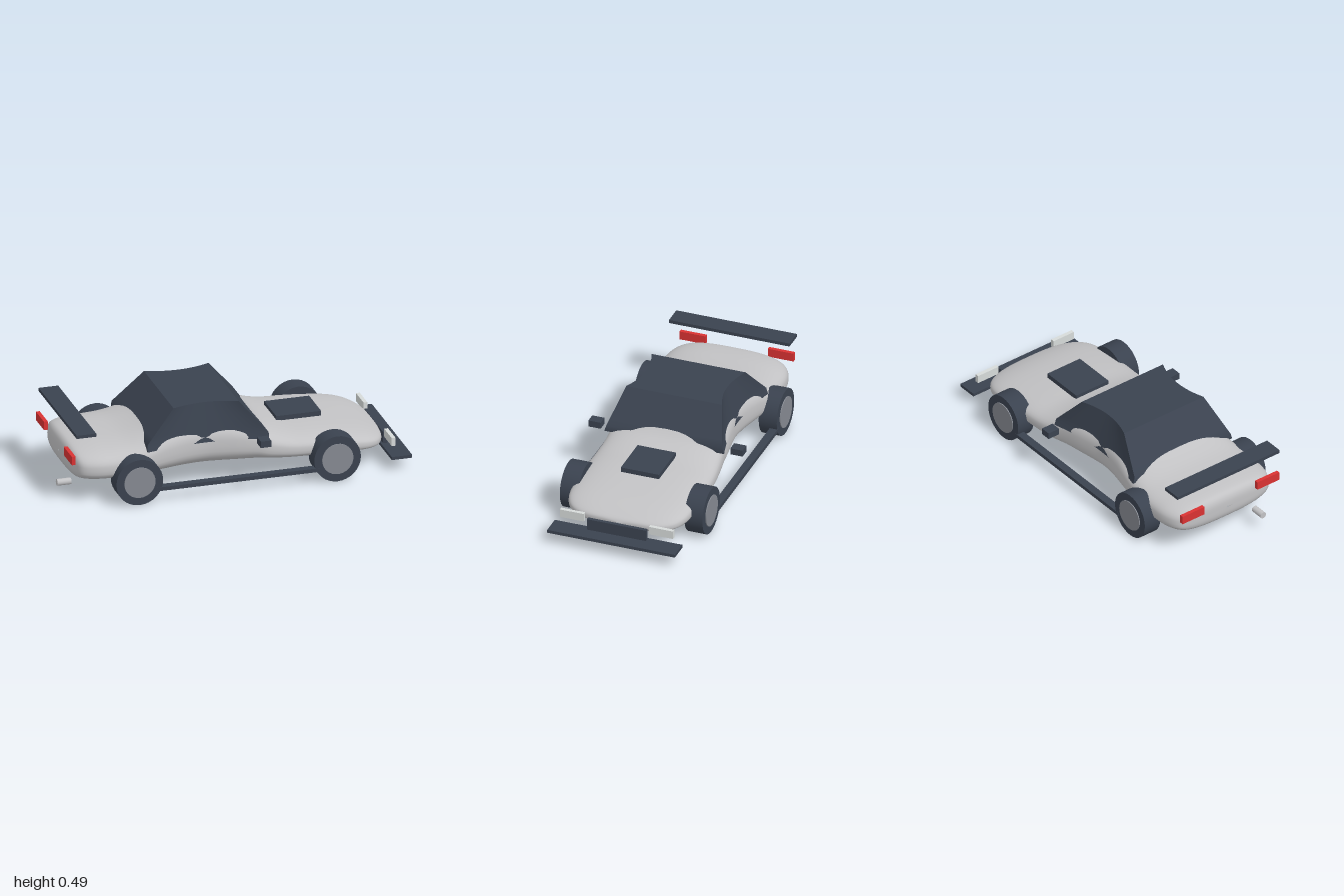
import * as THREE from 'three';

const mat = (name, color) => {
  const m = new THREE.MeshStandardMaterial({ color });
  m.name = name;
  return m;
};

// Catmull-Rom interpolation through rows of numbers
function sample(rows, s) {
  const last = rows.length - 1;
  const i = Math.min(Math.floor(s), last - 1), f = s - i;
  const at = (k) => rows[Math.max(0, Math.min(last, k))];
  return rows[i].map((b, k) => {
    const a = at(i - 1)[k], c = at(i + 1)[k], d = at(i + 2)[k];
    return b + 0.5 * f * (c - a + f * (2 * a - 5 * b + 4 * c - d + f * (3 * (b - c) + d - a)));
  });
}

// Smooth shell lofted from superellipse sections: x, bottom, top, half width
function bodyGeometry() {
  const stations = [
    [-0.93, 0.2, 0.21, 0.005], [-0.927, 0.16, 0.25, 0.17], [-0.912, 0.13, 0.28, 0.27],
    [-0.88, 0.116, 0.294, 0.325], [-0.8, 0.11, 0.302, 0.355], [-0.7, 0.108, 0.305, 0.36],
    [-0.6, 0.107, 0.315, 0.357], [-0.5, 0.106, 0.344, 0.347], [-0.4, 0.105, 0.387, 0.333],
    [-0.28, 0.105, 0.408, 0.31], [-0.17, 0.105, 0.41, 0.3], [-0.07, 0.105, 0.407, 0.311],
    [0.02, 0.105, 0.398, 0.324], [0.12, 0.106, 0.368, 0.335], [0.2, 0.107, 0.308, 0.344],
    [0.32, 0.107, 0.272, 0.355], [0.45, 0.107, 0.262, 0.36], [0.58, 0.107, 0.25, 0.36],
    [0.7, 0.107, 0.233, 0.356], [0.78, 0.108, 0.214, 0.335], [0.84, 0.113, 0.192, 0.285],
    [0.877, 0.123, 0.173, 0.19], [0.89, 0.143, 0.155, 0.01]
  ];
  const steps = (stations.length - 1) * 4, sides = 56, pos = [], idx = [];
  const pw = (v, n) => Math.sign(v) * Math.pow(Math.abs(v), n);
  for (let i = 0; i <= steps; i++) {
    const [x, bot, top, w] = sample(stations, i / 4);
    const mid = bot + (top - bot) * 0.45;
    for (let j = 0; j < sides; j++) {
      const a = (j / sides) * Math.PI * 2, s = Math.sin(a);
      const h = s > 0 ? top - mid : mid - bot;
      pos.push(x, mid + h * pw(s, 0.7), w * pw(Math.cos(a), 0.7));
      if (i === steps) continue;
      const k = (j + 1) % sides, p = i * sides, q = p + sides;
      idx.push(p + j, q + j, q + k, p + j, q + k, p + k);
    }
  }
  // end caps
  const e = steps * sides;
  for (let j = 1; j < sides - 1; j++) idx.push(0, j, j + 1, e, e + j + 1, e + j);
  for (let j = 0; j < idx.length; j += 0) {
    const capStart = idx.length - (sides - 2) * 6;
    for (let c = capStart; c < idx.length; c += 6) {
      // the rear cap faces -x, the front cap faces +x
      [idx[c + 1], idx[c + 2], idx[c + 4], idx[c + 5]] = [idx[c + 2], idx[c + 1], idx[c + 5], idx[c + 4]];
    }
    break;
  }
  const g = new THREE.BufferGeometry();
  g.setAttribute('position', new THREE.Float32BufferAttribute(pos, 3));
  g.setIndex(idx);
  g.computeVertexNormals();
  return g;
}

// Tapered, waisted glasshouse made by reshaping a box
function cabinGeometry() {
  const g = new THREE.BoxGeometry(1, 1, 1, 24, 6, 1);
  const p = g.attributes.position, lerp = THREE.MathUtils.lerp;
  for (let i = 0; i < p.count; i++) {
    const u = p.getX(i) + 0.5, t = p.getY(i) + 0.5;
    const slope = Math.max(0, (t - 1 / 6) / (5 / 6));
    const x = lerp(lerp(-0.52, -0.35, slope), lerp(0.18, 0.025, slope), u);
    const c = 2 * u - 1;
    const half = (0.302 + (c > 0 ? 0.053 : 0.045) * c * c) * (1 - 0.2 * t);
    p.setXYZ(i, x, 0.275 + 0.217 * t, Math.sign(p.getZ(i)) * half);
  }
  g.computeVertexNormals();
  return g;
}

export function createModel() {
  const car = new THREE.Group();
  car.name = 'car';
  const paint = mat('silver paint', 0xc2c2c4);
  const dark = mat('dark trim', 0x3a424f);
  const rim = mat('wheel grey', 0x858991);
  const lamp = mat('headlight white', 0xd6dad9);
  const red = mat('tail light red', 0xd93232);

  const add = (name, geometry, material, parent = car) => {
    const m = new THREE.Mesh(geometry, material);
    m.name = name;
    parent.add(m);
    return m;
  };
  // Box given by its limits on each axis
  const box = (name, material, [x0, x1], [y0, y1], [z0, z1]) => {
    const m = add(name, new THREE.BoxGeometry(x1 - x0, y1 - y0, z1 - z0), material);
    m.position.set((x0 + x1) / 2, (y0 + y1) / 2, (z0 + z1) / 2);
    return m;
  };

  add('body', bodyGeometry(), paint);
  add('cabin', cabinGeometry(), dark);

  // Centre parts
  box('hoodScoop', dark, [0.295, 0.555], [0.27, 0.298], [-0.113, 0.113]);
  box('grille', dark, [0.895, 0.917], [0.085, 0.152], [-0.175, 0.175]);
  box('splitter', dark, [0.882, 1], [0.068, 0.086], [-0.378, 0.378]);
  box('rearWing', dark, [-0.935, -0.822], [0.413, 0.432], [-0.357, 0.357]);

  // Paired parts on both sides
  for (const s of [1, -1]) {
    const span = (a, b) => (s > 0 ? [a, b] : [-b, -a]);
    box('headlight', lamp, [0.895, 0.917], [0.133, 0.181], span(0.193, 0.335));
    box('tailLight', red, [-0.957, -0.935], [0.25, 0.3], span(0.185, 0.338));
    box('sideSkirt', dark, [-0.49, 0.45], [0.07, 0.092], span(0.378, 0.424));
    box('mirror', dark, [0.1, 0.16], [0.27, 0.308], span(0.384, 0.457));

    for (const [name, x] of [['rearWheel', -0.59], ['frontWheel', 0.555]]) {
      const wheel = new THREE.Group();
      wheel.name = name;
      wheel.position.set(x, 0.135, s * 0.369);
      wheel.rotation.x = s * Math.PI / 2;
      add('tyre', new THREE.CylinderGeometry(0.135, 0.135, 0.107, 32), dark, wheel);
      add('hub', new THREE.CylinderGeometry(0.09, 0.09, 0.06, 32), rim, wheel).position.y = 0.029;
      car.add(wheel);
    }
  }

  // Single exhaust on the left rear
  const pipe = add('exhaust', new THREE.CylinderGeometry(0.019, 0.019, 0.08, 16), paint);
  pipe.rotation.z = Math.PI / 2;
  pipe.position.set(-0.96, 0.095, 0.193);
  return car;
}
